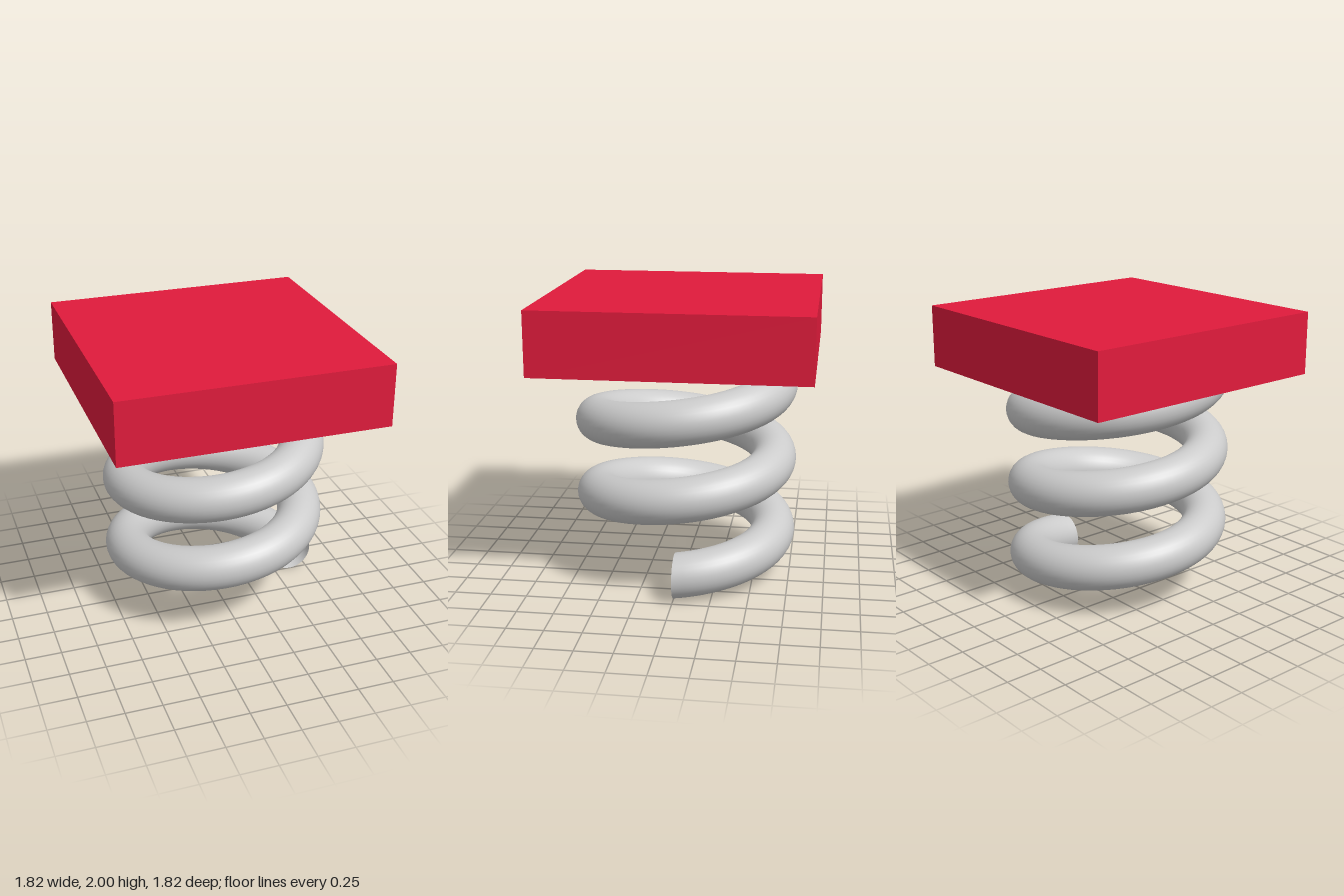
import * as THREE from 'three';
import { mergeVertices } from 'three/addons/utils/BufferGeometryUtils.js';

export function createModel() {
  const group = new THREE.Group();

  // Coil: a ring swept through three turns, then lifted steadily along the sweep
  const turns = 3, pitch = 0.533, coilRadius = 0.622, wireRadius = 0.155;
  const coilGeo = new THREE.TorusGeometry(coilRadius, wireRadius, 32, 64 * turns, turns * Math.PI * 2);
  coilGeo.rotateX(-Math.PI / 2);
  const pos = coilGeo.attributes.position, uv = coilGeo.attributes.uv;
  for (let i = 0; i < pos.count; i++) {
    pos.setY(i, pos.getY(i) + 0.16 + uv.getX(i) * turns * pitch);
  }
  // Weld the seam along the wire so the shading stays smooth
  coilGeo.deleteAttribute('uv');
  coilGeo.deleteAttribute('normal');
  const smoothCoil = mergeVertices(coilGeo, 1e-5);
  smoothCoil.computeVertexNormals();
  const coil = new THREE.Mesh(
    smoothCoil,
    new THREE.MeshStandardMaterial({ color: 0xcccccc, side: THREE.DoubleSide }) // open wire ends
  );
  coil.name = 'springCoil';
  group.add(coil);

  // Square plate resting on the spring
  const bottom = 1.57, top = 2;
  const plate = new THREE.Mesh(
    new THREE.BoxGeometry(1.82, top - bottom, 1.82),
    new THREE.MeshStandardMaterial({ color: 0xe01b3c })
  );
  plate.position.y = (bottom + top) / 2;
  plate.name = 'topPlate';
  group.add(plate);

  return group;
}
